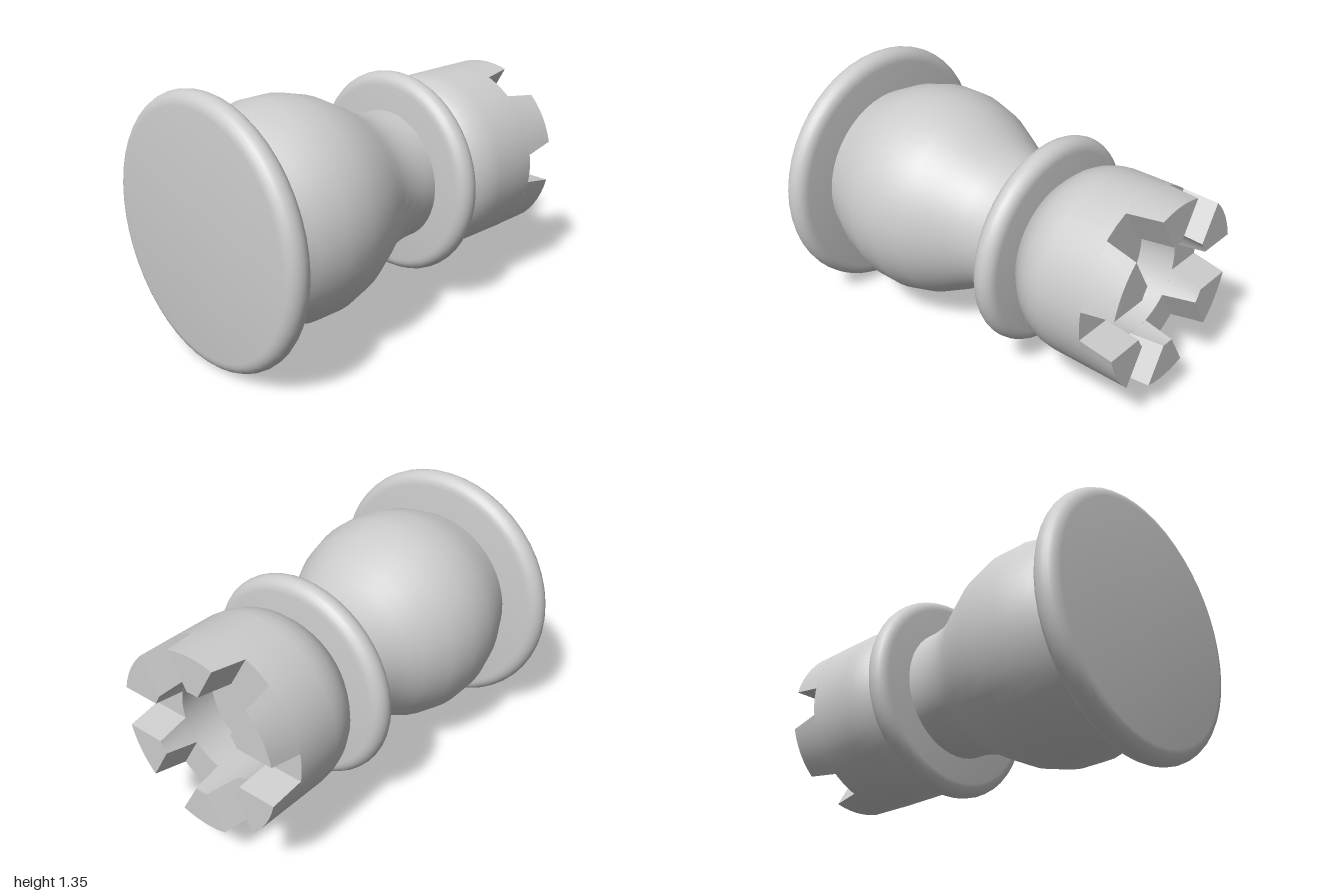
import * as THREE from 'three';
import { toCreasedNormals } from 'three/addons/utils/BufferGeometryUtils.js';

const SEGMENTS = 48;
const HEAD_R = 0.477, BORE_R = 0.28, NOTCH_Y = 1.825, TOP_Y = 2;

// Turned part from [radius, height] pairs, keeping sharp edges crisp
function turned(name, points, material) {
  const profile = points.map(([r, y]) => new THREE.Vector2(r, y));
  const geometry = toCreasedNormals(new THREE.LatheGeometry(profile, SEGMENTS), 0.6);
  const mesh = new THREE.Mesh(geometry, material);
  mesh.name = name;
  return mesh;
}

// Disc with a fully rounded rim
function roundedDisc(name, radius, y0, y1, material) {
  const rim = (y1 - y0) / 2;
  const points = [[0, y0]];
  for (let i = 0; i <= 10; i++) {
    const a = -Math.PI / 2 + (Math.PI * i) / 10;
    points.push([radius - rim + rim * Math.cos(a), y0 + rim + rim * Math.sin(a)]);
  }
  points.push([0, y1]);
  return turned(name, points, material);
}

// Battlement tooth: a box bent to the rim, its sides left by straight tapered notches
function toothGeometry() {
  const geometry = new THREE.BoxGeometry(1, 1, 1, 6, 1, 1);
  const p = geometry.attributes.position;
  for (let i = 0; i < p.count; i++) {
    const top = p.getY(i) > 0;
    const r = p.getZ(i) > 0 ? HEAD_R : BORE_R;
    const halfNotch = top ? 0.11 : 0.078;
    const halfAngle = Math.PI / 6 - Math.asin(halfNotch / r);
    const a = p.getX(i) * 2 * halfAngle;
    p.setXYZ(i, r * Math.sin(a), top ? TOP_Y : NOTCH_Y, r * Math.cos(a));
  }
  geometry.computeVertexNormals();
  return geometry;
}

export function createModel() {
  const grey = new THREE.MeshStandardMaterial({ color: 0xcccccc });
  grey.name = 'grey';

  const rook = new THREE.Group();
  rook.name = 'rook';

  rook.add(roundedDisc('base', 0.673, 0, 0.13, grey));

  // Bulbous body running into the neck
  rook.add(turned('body', [
    [0.45, 0.12], [0.457, 0.14], [0.522, 0.275], [0.56, 0.42], [0.56, 0.57],
    [0.522, 0.715], [0.45, 0.855], [0.407, 0.93], [0.376, 1.0], [0.358, 1.07],
    [0.348, 1.14], [0.345, 1.23],
  ], grey));

  rook.add(roundedDisc('collar', 0.542, 1.215, 1.34, grey));

  // Cup-shaped head with a round bore
  rook.add(turned('head', [
    [0.3, 1.335], [0.348, 1.34], [0.385, 1.375], [0.425, 1.42], [0.453, 1.47],
    [0.47, 1.525], [HEAD_R, 1.58], [HEAD_R, NOTCH_Y],
    [BORE_R, NOTCH_Y], [BORE_R, 1.63], [0, 1.63],
  ], grey));

  // Six battlement teeth
  const tooth = toothGeometry();
  for (let i = 0; i < 6; i++) {
    const mesh = new THREE.Mesh(tooth, grey);
    mesh.name = 'battlement';
    mesh.rotation.y = (i * Math.PI) / 3;
    rook.add(mesh);
  }

  // Lay the piece down with its base facing the front
  rook.rotation.x = -Math.PI / 2;
  rook.position.set(0, 0.673, 1);

  const model = new THREE.Group();
  model.name = 'chessRook';
  model.add(rook);
  return model;
}
